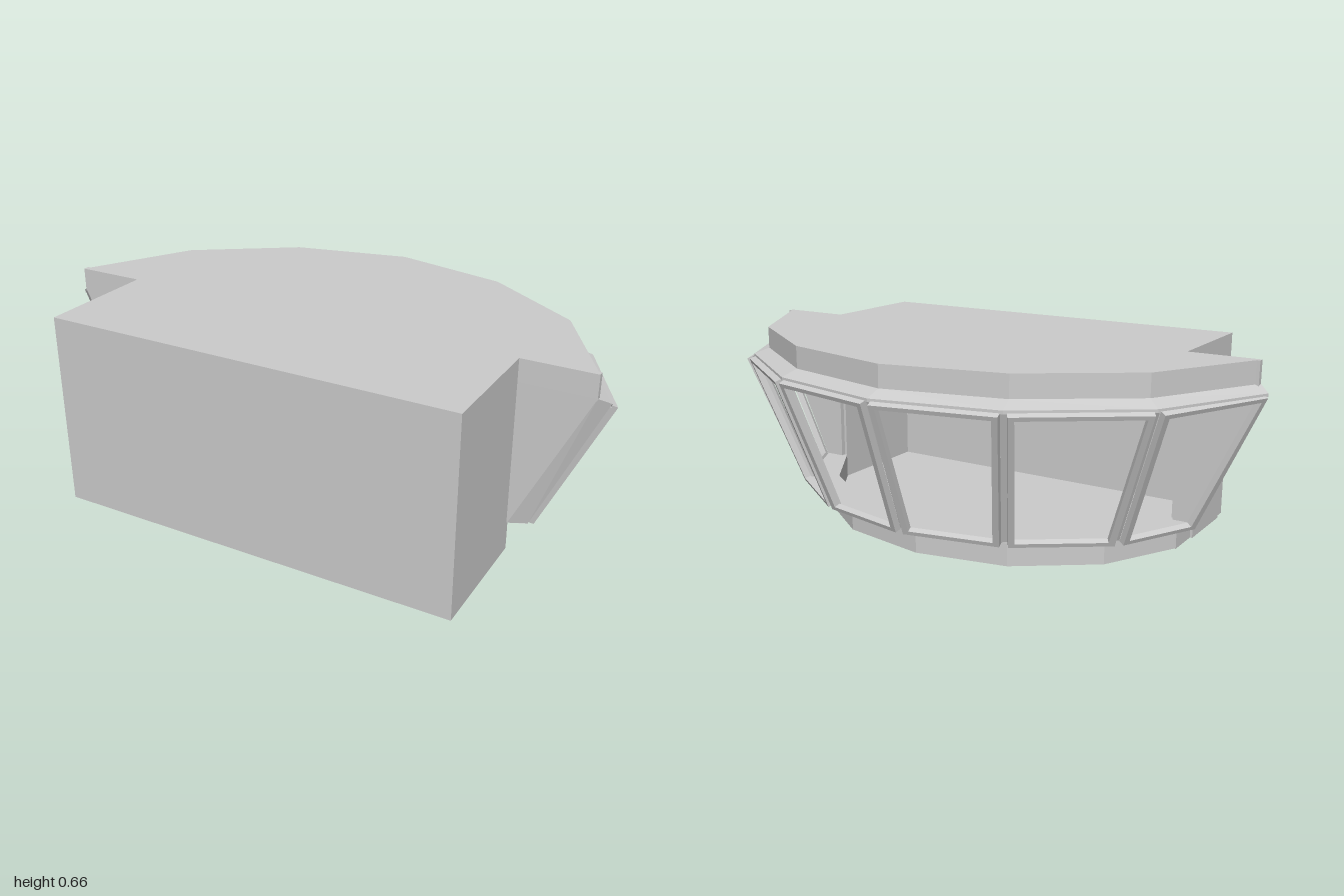
import * as THREE from 'three';
import { ConvexGeometry } from 'three/addons/geometries/ConvexGeometry.js';

const V = (x, y, z) => new THREE.Vector3(x, y, z);
const material = new THREE.MeshStandardMaterial({ color: 0xcccccc, flatShading: true });
const thin = new THREE.MeshStandardMaterial({ color: 0xcccccc, flatShading: true, side: THREE.DoubleSide });

// Half outlines [x, z] of the rear bay, from the left end to the middle
const BASE = [[0.7, 0.17], [0.56, -0.09], [0.31, -0.27], [0, -0.33]];
const BASE_IN = [[0.68, 0.16], [0.53, -0.07], [0.29, -0.24], [0, -0.3]];
const SILL = [[0.76, 0.145], [0.62, -0.13], [0.335, -0.33], [0, -0.4]];
const HEAD = [[0.975, 0.14], [0.775, -0.225], [0.415, -0.477], [0, -0.565]];
const ROOF = [[0.94, 0.17], [0.735, -0.19], [0.4, -0.42], [0, -0.51]];
const ROOF_IN = [[0.91, 0.15], [0.715, -0.17], [0.39, -0.395], [0, -0.485]];

// Mirror a half outline into a full path at height y
function path(half, y) {
  const left = half.map(([x, z]) => V(x, y, z));
  const right = half.slice(0, -1).reverse().map(([x, z]) => V(-x, y, z));
  return [...left, ...right];
}

// Faceted surface through a list of equal-length paths
function loft(paths) {
  const p = [];
  for (let j = 0; j < paths.length - 1; j++) {
    const a = paths[j], b = paths[j + 1];
    for (let i = 0; i < a.length - 1; i++) {
      for (const q of [a[i], a[i + 1], b[i + 1], a[i], b[i + 1], b[i]]) p.push(q.x, q.y, q.z);
    }
  }
  const g = new THREE.BufferGeometry();
  g.setAttribute('position', new THREE.Float32BufferAttribute(p, 3));
  g.computeVertexNormals();
  return g;
}

// Horizontal slab: the bay outline joined to the rectangular room
function slab(half, y, thickness) {
  const pts = path(half, 0).map(p => new THREE.Vector2(p.x, -p.z));
  const corners = [[-0.7, 0.17], [-0.7, 0.585], [0.7, 0.585], [0.7, 0.17]];
  for (const [x, z] of corners) {
    const c = new THREE.Vector2(x, -z);
    if (!pts.some(p => p.distanceTo(c) < 1e-4)) pts.push(c);
  }
  const g = new THREE.ExtrudeGeometry(new THREE.Shape(pts), { depth: thickness, bevelEnabled: false });
  return g.rotateX(-Math.PI / 2).translate(0, y, 0);
}

// Leaning window frame between two lower and two upper corners
function windowFrame(a, b, c, d) {
  const u = b.clone().sub(a).normalize();
  const n = u.clone().cross(d.clone().sub(a)).normalize();
  const v = n.clone().cross(u);
  const flat = [a, b, c, d].map(p => {
    const q = p.clone().sub(a);
    return new THREE.Vector2(q.dot(u), q.dot(v));
  });
  const inset = (w, h) => flat.map((p, i) => new THREE.Vector2(
    p.x + (i === 0 || i === 3 ? w : -w), p.y + (i < 2 ? h : -h)));
  const shape = new THREE.Shape(inset(0.01, 0));
  shape.holes.push(new THREE.Path(inset(0.03, 0.014)));
  const g = new THREE.ExtrudeGeometry(shape, { depth: 0.022, bevelEnabled: false });
  return g.applyMatrix4(new THREE.Matrix4().makeBasis(u, v, n).setPosition(a));
}

export function createModel() {
  const model = new THREE.Group();
  const add = (name, geometry, mat = material) => {
    const mesh = new THREE.Mesh(geometry, mat);
    mesh.name = name;
    model.add(mesh);
    return mesh;
  };
  const box = (name, x0, x1, y0, y1, z0, z1) => add(name,
    new THREE.BoxGeometry(x1 - x0, y1 - y0, z1 - z0)
      .translate((x0 + x1) / 2, (y0 + y1) / 2, (z0 + z1) / 2));

  // Floor, roof and the walls of the rectangular room
  add('floor', slab(BASE, 0, 0.02));
  add('roof', slab(ROOF, 0.648, 0.01));
  box('frontWall', -0.7, 0.7, 0, 0.658, 0.565, 0.585);
  for (const s of [-1, 1]) {
    const x = s * 0.69;
    box('sideWall', x - 0.01, x + 0.01, 0, 0.658, 0.16, 0.585);
  }
  box('door', -0.708, -0.698, 0, 0.51, 0.285, 0.53);

  // Low wall with overhanging sill
  add('lowerWall', loft([path(BASE, 0), path(BASE, 0.1), path(SILL, 0.1),
    path(SILL, 0.106), path(BASE_IN, 0.106), path(BASE_IN, 0.02)]), thin);

  // Roof edge, sloping ledge and window head
  add('roofEdge', loft([path(ROOF, 0.658), path(ROOF, 0.583), path(HEAD, 0.563),
    path(HEAD, 0.552), path(ROOF_IN, 0.552), path(ROOF_IN, 0.65)]), thin);

  // Cheeks closing both ends of the bay
  for (const s of [-1, 1]) {
    add('cheek', new ConvexGeometry([
      V(s * 0.69, 0.1, 0.17), V(s * 0.702, 0.1, 0.17), V(s * 0.94, 0.583, 0.17), V(s * 0.69, 0.583, 0.17),
      V(s * 0.69, 0.1, 0.142), V(s * 0.76, 0.1, 0.142), V(s * 0.975, 0.563, 0.14), V(s * 0.69, 0.583, 0.142),
    ]));
    const x = s * 0.815;
    box('cheekTop', x - 0.125, x + 0.125, 0.575, 0.658, 0.15, 0.17);
  }

  // Six leaning window frames with mullions behind the joints
  const low = path(SILL, 0.102), high = path(HEAD, 0.555);
  for (let i = 0; i < low.length - 1; i++) {
    add('windowFrame', windowFrame(low[i], low[i + 1], high[i + 1], high[i]));
    if (i === 0) continue;
    const a = low[i].clone().multiply(V(0.985, 1, 0.97));
    const b = high[i].clone().multiply(V(0.985, 1, 0.97));
    const bar = add('mullion', new THREE.BoxGeometry(0.022, 0.016, a.distanceTo(b)));
    bar.position.copy(a).lerp(b, 0.5);
    bar.lookAt(b);
  }

  // Ceiling beams running front to back
  for (const [x, z] of [[0.5, -0.02], [0.167, -0.22], [-0.167, -0.22], [-0.5, -0.02]]) {
    box('ceilingBeam', x - 0.02, x + 0.02, 0.6, 0.65, z, z + 0.49);
  }
  return model;
}
